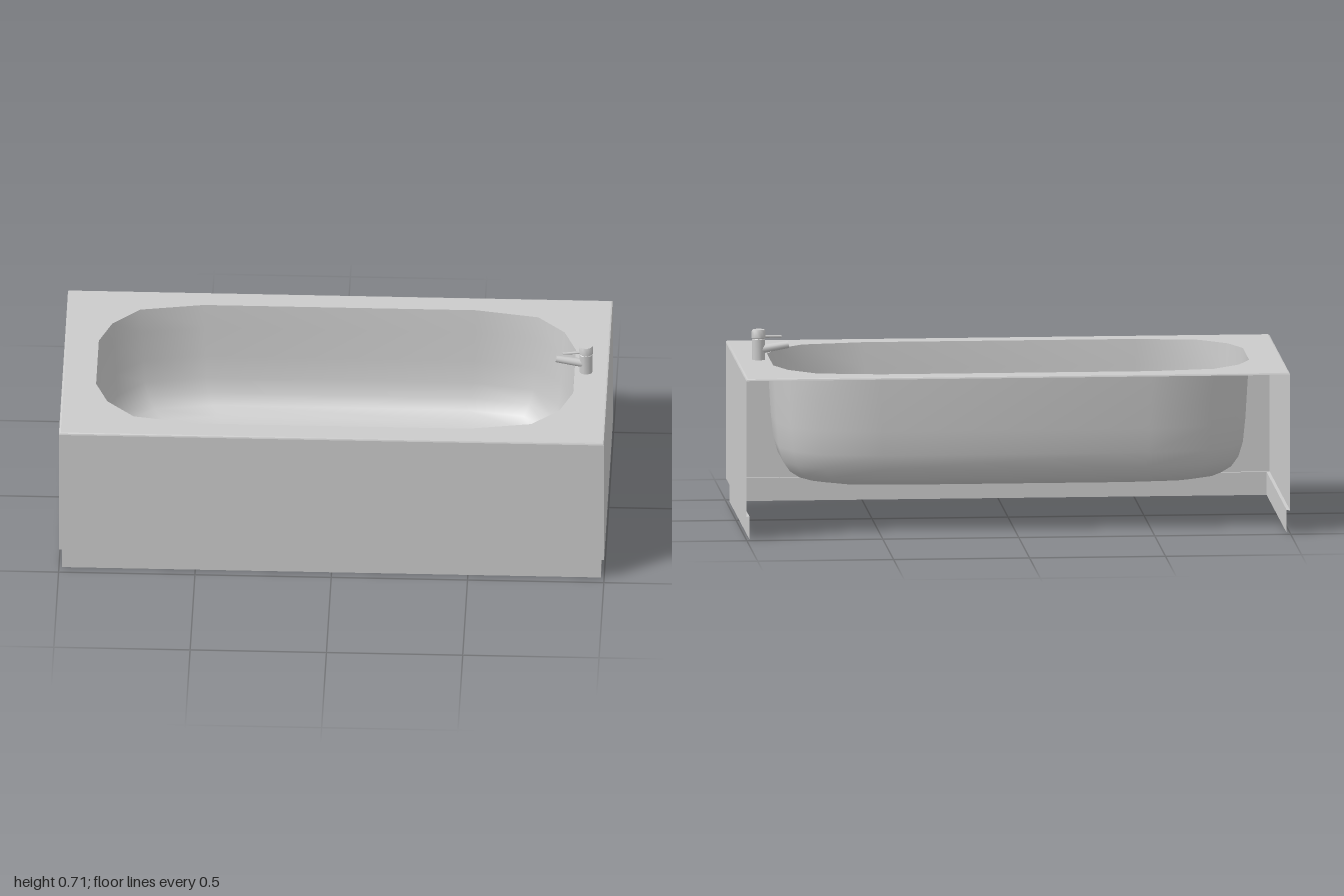
import * as THREE from 'three';
import { toCreasedNormals } from 'three/addons/utils/BufferGeometryUtils.js';

const HALF_X = 1, HALF_Z = 0.478, TOP = 0.595;
const material = new THREE.MeshStandardMaterial({ color: 0xcccccc, side: THREE.DoubleSide });

// Joins rows of points (one per cross-section) into a surface
function loft(rows, closed, crease) {
  const n = rows[0].length, index = [];
  for (let r = 0; r < rows.length - 1; r++) {
    for (let i = 0; i < (closed ? n : n - 1); i++) {
      const j = (i + 1) % n;
      const a = r * n + i, b = r * n + j, c = a + n, d = b + n;
      index.push(a, b, d, a, d, c);
    }
  }
  const geometry = new THREE.BufferGeometry();
  geometry.setAttribute('position', new THREE.Float32BufferAttribute(rows.flat(2), 3));
  geometry.setIndex(index);
  return toCreasedNormals(geometry, crease);
}

function add(parent, name, geometry) {
  const mesh = new THREE.Mesh(geometry, material);
  mesh.name = name;
  parent.add(mesh);
  return mesh;
}

// Corners of the tub's rectangle, starting and ending at the back
function rectangle(inset, y) {
  const x = HALF_X - inset, z = HALF_Z - inset;
  return [[x, y, -z], [x, y, z], [-x, y, z], [-x, y, -z]];
}

// Rim outline: one quarter mirrored into a closed loop of [x, z]
function rimOutline() {
  const quarter = [[0.875, 0.143], [0.83, 0.258], [0.73, 0.355], [0.5, 0.394]];
  const half = [...quarter, ...quarter.map(([x, z]) => [-x, z]).reverse()];
  return [...half, ...half.map(([x, z]) => [x, -z]).reverse()];
}

// Cylinder between two points
function rod(from, to, r0, r1, sides) {
  const a = new THREE.Vector3(...from), b = new THREE.Vector3(...to);
  const dir = b.clone().sub(a);
  const geometry = new THREE.CylinderGeometry(r1, r0, dir.length(), sides);
  geometry.applyQuaternion(new THREE.Quaternion().setFromUnitVectors(
    new THREE.Vector3(0, 1, 0), dir.normalize()));
  const mid = a.add(b).multiplyScalar(0.5);
  return geometry.translate(mid.x, mid.y, mid.z);
}

export function createModel() {
  const tub = new THREE.Group();
  tub.name = 'bathtub';
  const outline = rimOutline();

  // Three-sided skirt, open at the back, with a recessed plinth
  add(tub, 'plinth', loft([rectangle(0.012, 0), rectangle(0.012, 0.085)], false, 0.3));
  add(tub, 'plinthLedge', loft([rectangle(0.012, 0.085), rectangle(0, 0.085)], false, 0.3));
  add(tub, 'sidePanels', loft([rectangle(0, 0.085), rectangle(0, 0.588)], false, 0.3));

  // Flat deck with the basin opening and a softened outer edge
  const edge = [[0, 0.588], [0.002, 0.593], [0.007, TOP]];
  add(tub, 'deckEdge', loft(edge.map(([o, y]) => rectangle(o, y)), true, 0.8));
  const deck = new THREE.Shape(rectangle(0.007, 0).map(([x, , z]) => new THREE.Vector2(x, -z)));
  deck.holes.push(new THREE.Path(outline.map(([x, z]) => new THREE.Vector2(x, -z))));
  add(tub, 'deck', new THREE.ShapeGeometry(deck).rotateX(-Math.PI / 2).translate(0, TOP, 0));

  // Basin: steep walls curving into a flat floor, [inward offset, height]
  const profile = [[0, TOP], [0.006, 0.5], [0.013, 0.38], [0.022, 0.29], [0.038, 0.235],
    [0.064, 0.197], [0.1, 0.173], [0.15, 0.162], [0.2, 0.16]];
  const rows = profile.map(([o, y]) => outline.map(([x, z]) =>
    [x * (1 - o / 0.875), y, z * (1 - o / 0.394)]));
  rows.push(outline.map(([x]) => [x * 0.6, 0.16, 0]));
  add(tub, 'basin', loft(rows, true, 1.0));

  // Drain
  add(tub, 'drain', new THREE.CylinderGeometry(0.046, 0.046, 0.012, 24).translate(0.59, 0.16, 0));

  // Mixer tap on the deck
  const tap = new THREE.Group();
  tap.name = 'tap';
  tub.add(tap);
  const body = [[0, 0.59], [0.019, 0.59], [0.019, 0.671], [0.017, 0.673], [0.0205, 0.676],
    [0.0205, 0.701], [0.018, 0.707], [0, 0.707]].map(([r, y]) => new THREE.Vector2(r, y));
  add(tap, 'tapBody', toCreasedNormals(new THREE.LatheGeometry(body, 16)
    .scale(1.25, 1, 1).translate(0.917, 0, 0), 0.6));
  add(tap, 'spout', rod([0.91, 0.633, 0], [0.807, 0.65, 0], 0.016, 0.013, 12));
  add(tap, 'lever', rod([0.91, 0.681, 0], [0.832, 0.679, 0.01], 0.006, 0.004, 8));

  return tub;
}
